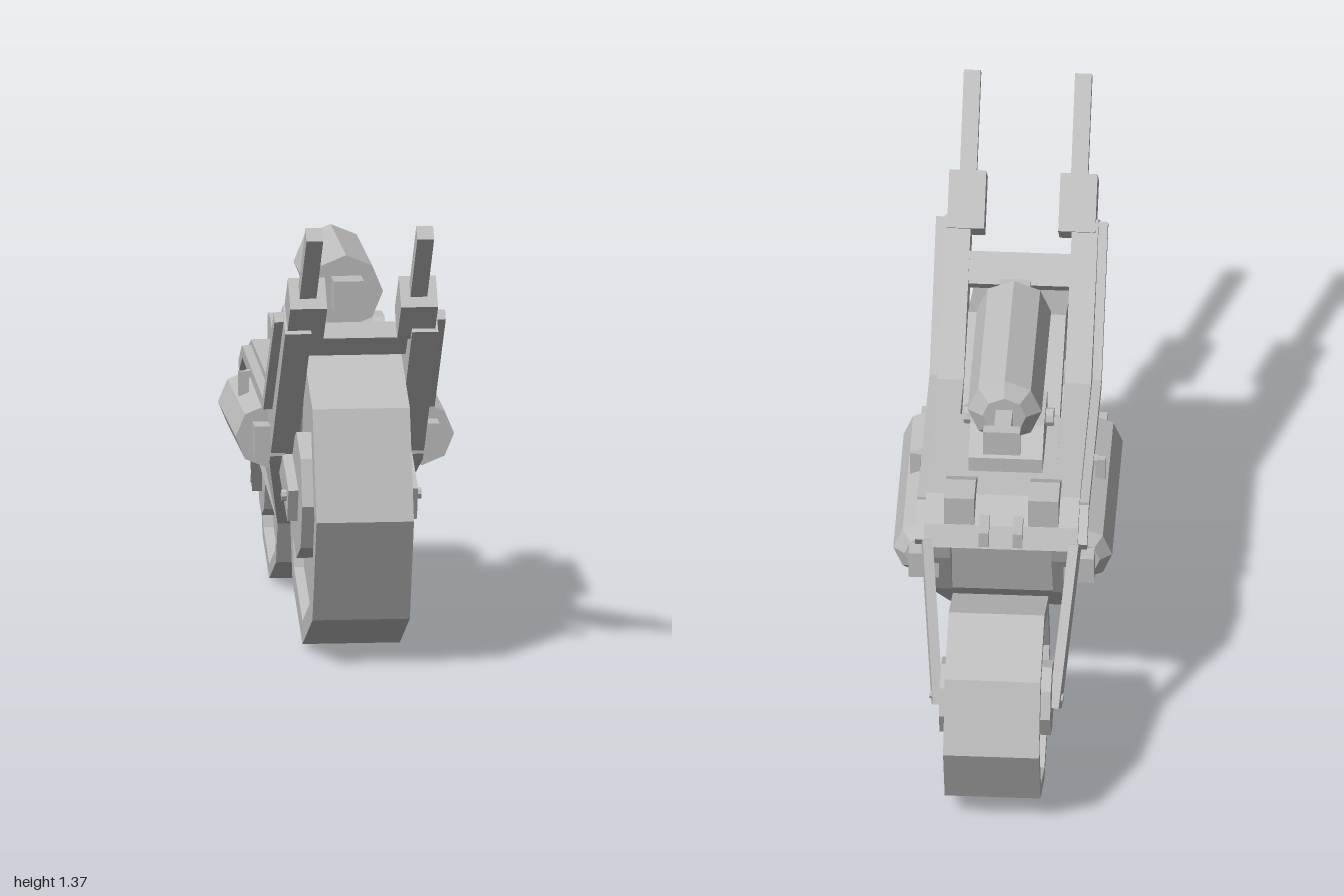
import * as THREE from 'three';

const grey = new THREE.MeshStandardMaterial({ color: 0xbfbfbf, flatShading: true });
grey.name = 'plain grey';

export function createModel() {
  const model = new THREE.Group();
  const add = (name, geo, x = 0, y = 0, z = 0) => {
    const m = new THREE.Mesh(geo, grey);
    m.name = name;
    m.position.set(x, y, z);
    model.add(m);
    return m;
  };
  // box given by its ranges
  const box = (name, x0, x1, y0, y1, z0, z1) =>
    add(name, new THREE.BoxGeometry(Math.abs(x1 - x0), y1 - y0, z1 - z0), (x0 + x1) / 2, (y0 + y1) / 2, (z0 + z1) / 2);
  // box running from point a to point b
  const bar = (name, a, b, w, h) => {
    const p = new THREE.Vector3(...a), q = new THREE.Vector3(...b);
    const m = add(name, new THREE.BoxGeometry(w, h, p.distanceTo(q)));
    m.position.copy(p).lerp(q, 0.5);
    m.lookAt(q);
    return m;
  };
  // eight-sided cylinder along z (front radius, back radius)
  const drum = (name, rf, rb, x, y, z0, z1) =>
    add(name, new THREE.CylinderGeometry(rf, rb, z1 - z0, 8).rotateX(Math.PI / 2), x, y, (z0 + z1) / 2);
  const pin = (name, r, len, x, y, z) =>
    add(name, new THREE.CylinderGeometry(r, r, len, 8).rotateZ(Math.PI / 2), x, y, z);
  // side profile [z, y] extruded from x0 to x1
  const plate = (name, pts, x0, x1, rule) => {
    const shape = new THREE.Shape(pts.map(([z, y]) => new THREE.Vector2(-z, y)));
    const geo = new THREE.ExtrudeGeometry(shape, { depth: x1 - x0, bevelEnabled: false });
    geo.rotateY(Math.PI / 2).translate(x0, 0, 0);
    if (rule) {
      const p = geo.attributes.position;
      for (let i = 0; i < p.count; i++) p.setX(i, rule(p.getX(i), p.getY(i)));
      geo.computeVertexNormals();
    }
    return add(name, geo);
  };

  // wheels: tread, recessed disc and raised hub
  const wheel = (name, y, z, R, rim, hub, half, hubX) => {
    const side = [[0, hubX], [hub, hubX], [hub, half - 0.03], [rim, half - 0.03], [rim, half], [R, half]];
    const pts = [...side.map(([r, h]) => [r, -h]), ...side.reverse()].map(([r, h]) => new THREE.Vector2(r, h));
    add(name, new THREE.LatheGeometry(pts, 8).rotateZ(Math.PI / 2), 0, y, z);
  };
  wheel('frontWheel', 0.46, 0.39, 0.45, 0.38, 0.19, 0.145, 0.163);
  wheel('rearWheel', 0.305, -0.695, 0.303, 0.26, 0.112, 0.142, 0.165);

  // hull: two tapered side plates with a core behind the front wheel
  const profile = [[0.73, 1.01], [0.64, 1.08], [0.24, 0.77], [-0.35, 0.79], [-0.45, 0.75], [-0.485, 0.69],
    [-0.47, 0.64], [-0.38, 0.46], [-0.18, 0.265], [0.23, 0.53], [0.3, 0.59]];
  const taper = (x, y) => {
    if (Math.abs(x) < 0.2) return x;
    const w = 0.166 + 0.062 * Math.min(1, Math.max(0, (y - 0.265) / 0.24));
    return Math.sign(x) * w;
  };
  plate('hullCore', [[0.06, 0.778], [-0.35, 0.79], [-0.45, 0.75], [-0.485, 0.69], [-0.41, 0.68], [-0.36, 0.45],
    [-0.18, 0.265], [-0.02, 0.37]], -0.151, 0.151);
  bar('crosspiece', [0, 0.925, 0.5], [0, 0.99, 0.575], 0.32, 0.055);

  for (const s of [1, -1]) {
    plate('hullSide', profile, s > 0 ? 0.15 : -0.228, s > 0 ? 0.228 : -0.15, taper);

    // raised rail along the flank
    const rail = [[1.05, 0.665], [0.72, 0.31], [0.755, -0.35], [0.69, -0.46]];
    for (let i = 0; i < 3; i++)
      bar('sideRail', [s * 0.237, ...rail[i]], [s * 0.237, ...rail[i + 1]], 0.036, 0.035);

    // handlebars
    bar('handleSocket', [s * 0.165, 1.02, 0.64], [s * 0.165, 1.14, 0.768], 0.11, 0.11);
    bar('handle', [s * 0.165, 1.12, 0.74], [s * 0.165, 1.358, 0.982], 0.05, 0.048);

    // front axle arm and rear strut
    bar('frontArm', [s * 0.178, 0.437, 0.44], [s * 0.178, 0.54, 0.17], 0.03, 0.105);
    pin('frontAxleBolt', 0.017, 0.03, s * 0.193, 0.46, 0.39);
    bar('rearStrut', [s * 0.22, 0.7, -0.46], [s * 0.175, 0.28, -0.71], 0.03, 0.05);
    pin('rearAxleBolt', 0.013, 0.04, s * 0.178, 0.305, -0.695);

    // side canister with end caps and bracket
    drum('canister', 0.095, 0.095, s * 0.23, 0.6, -0.37, 0.19);
    drum('canisterTaper', 0.095, 0.06, s * 0.23, 0.6, -0.4, -0.37);
    box('canisterNose', s * 0.185, s * 0.275, 0.555, 0.645, 0.18, 0.27);
    box('canisterTail', s * 0.185, s * 0.275, 0.555, 0.642, -0.455, -0.39);
    bar('bracketTop', [s * 0.22, 0.737, -0.09], [s * 0.268, 0.737, -0.09], 0.03, 0.02);
    bar('bracketDrop', [s * 0.275, 0.745, -0.09], [s * 0.275, 0.655, -0.09], 0.03, 0.02);

    // rear deck blocks and hoops
    plate('deckBlock', [[-0.29, 0.77], [-0.29, 0.81], [-0.36, 0.85], [-0.455, 0.85], [-0.455, 0.755], [-0.35, 0.755]],
      s > 0 ? 0.08 : -0.17, s > 0 ? 0.17 : -0.08);
    plate('rearHoop', [[-0.42, 0.75], [-0.43, 0.775], [-0.475, 0.775], [-0.49, 0.75], [-0.49, 0.7], [-0.47, 0.7],
      [-0.465, 0.74]], s > 0 ? 0.035 : -0.065, s > 0 ? 0.065 : -0.035);
    pin('mountBolt', 0.028, 0.04, s * 0.113, 0.85, -0.035);
  }

  // upper tank on its pedestal
  plate('mountBase', [[0.03, 0.77], [0.03, 0.895], [-0.14, 0.895], [-0.23, 0.835], [-0.23, 0.775]], -0.11, 0.11);
  box('mountNeck', -0.05, 0.05, 0.89, 0.95, -0.08, 0.01);
  drum('tank', 0.11, 0.11, 0, 1.04, -0.265, 0.23);
  drum('tankTaper', 0.11, 0.065, 0, 1.04, -0.295, -0.265);
  box('tankNose', -0.045, 0.045, 0.995, 1.088, 0.22, 0.32);
  box('tankRod', -0.025, 0.025, 1.018, 1.064, -0.4, -0.29);
  box('tankEndPlate', -0.055, 0.055, 1.0, 1.082, -0.432, -0.398);

  return model;
}
